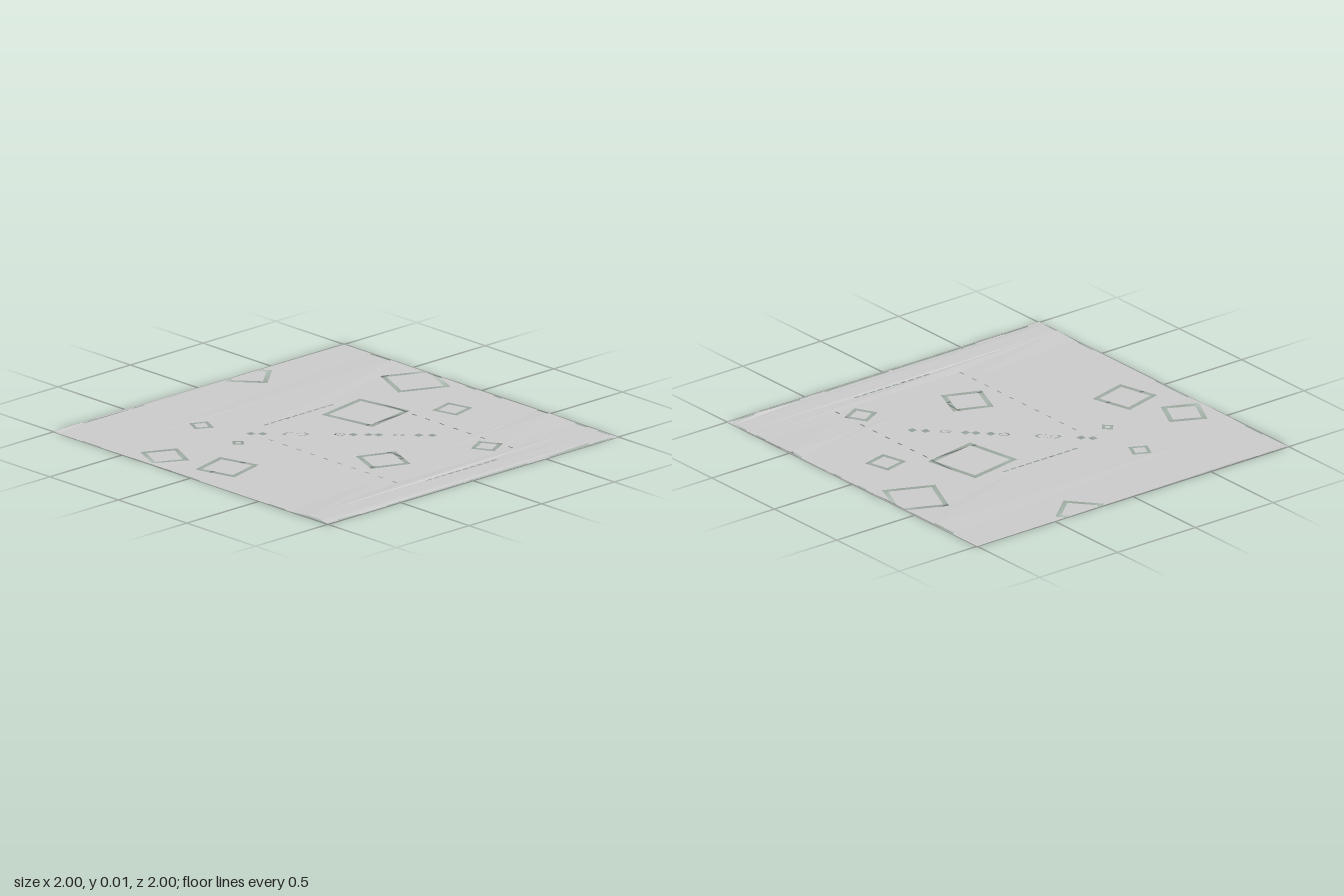
import * as THREE from 'three';

const FLAT = 0.014, LIMIT = 0.992;
const material = new THREE.MeshStandardMaterial({ color: 0xcccccc, side: THREE.DoubleSide, flatShading: true });

// Rectangle corners in plan [x, z], turned by an angle in degrees
function rect(cx, cz, w, d, deg = 0) {
  const a = deg * Math.PI / 180, c = Math.cos(a), s = Math.sin(a);
  return [[-1, -1], [1, -1], [1, 1], [-1, 1]].map(([i, j]) => {
    const x = i * w / 2, z = j * d / 2;
    return [cx + x * c - z * s, cz + x * s + z * c];
  });
}

// Cut a plan polygon off at the border of the sheet
function clip(points) {
  for (const [axis, sign] of [[0, 1], [0, -1], [1, 1], [1, -1]]) {
    const out = [];
    points.forEach((p, i) => {
      const q = points[(i + 1) % points.length];
      const dp = LIMIT - sign * p[axis], dq = LIMIT - sign * q[axis];
      if (dp >= 0) out.push(p);
      if (dp * dq < 0) {
        const t = dp / (dp - dq);
        out.push([p[0] + (q[0] - p[0]) * t, p[1] + (q[1] - p[1]) * t]);
      }
    });
    points = out;
  }
  return points;
}

// Shrink a polygon towards its middle
function shrink(points, factor) {
  const n = points.length;
  const mx = points.reduce((s, p) => s + p[0], 0) / n;
  const mz = points.reduce((s, p) => s + p[1], 0) / n;
  return points.map(([x, z]) => [mx + (x - mx) * factor, mz + (z - mz) * factor]);
}

const toVectors = points => points.map(([x, z]) => new THREE.Vector2(x, -z));

function plate(name, outline, holes, height) {
  const shape = new THREE.Shape(toVectors(outline));
  shape.holes = holes.map(h => new THREE.Path(toVectors(h)));
  const geometry = new THREE.ShapeGeometry(shape).rotateX(-Math.PI / 2);
  const pos = geometry.attributes.position;
  for (let i = 0; i < pos.count; i++) pos.setY(i, height(pos.getX(i), pos.getZ(i)));
  geometry.computeVertexNormals();
  const mesh = new THREE.Mesh(geometry, material);
  mesh.name = name;
  return mesh;
}

// Low ripples along each border: [position, height, width]
const ripples = {
  front: [[-0.96, 0.008, 0.05], [0.73, 0.014, 0.08], [0.13, 0.006, 0.08]],
  back: [[-0.68, 0.01, 0.06], [-0.95, 0.008, 0.06], [0.75, 0.008, 0.08]],
  left: [[0.9, 0.01, 0.1], [0.3, 0.01, 0.07], [-0.3, 0.004, 0.06]],
  right: [[0.5, 0.005, 0.08], [-0.3, 0.005, 0.05], [-0.7, 0.007, 0.06]],
};

// Narrow gaps just inside each border: [start, end]
const gaps = {
  front: [[-0.92, -0.77], [-0.59, -0.05], [-0.03, 0.38], [0.54, 0.8], [0.84, 0.97]],
  back: [[-0.8, -0.71], [-0.46, -0.38]],
  left: [[-0.8, -0.66], [-0.2, 0.06], [0.56, 0.68], [0.85, 0.95]],
  right: [[-0.8, -0.65], [-0.1, -0.03], [0.1, 0.16], [0.42, 0.5], [0.7, 0.78], [0.86, 0.95]],
};

function sideOf(x, z) {
  if (z > 0.97) return ['front', x];
  if (z < -0.97) return ['back', x];
  if (x < -0.97) return ['left', z];
  if (x > 0.97) return ['right', z];
  return null;
}

function sheetHeight(x, z) {
  const side = sideOf(x, z);
  if (!side) return FLAT;
  const [name, t] = side;
  // The rim drops to the ground beside a gap
  const outermost = Math.max(Math.abs(x), Math.abs(z)) > 0.999;
  if (outermost && gaps[name].some(([a, b]) => t > a && t < b)) return 0;
  return ripples[name].reduce((y, [p, h, w]) => y + h * Math.exp(-(((t - p) / w) ** 2)), FLAT);
}

export function createModel() {
  const group = new THREE.Group();
  group.name = 'groundSheet';
  const holes = [], islands = [];

  // Square ring cuts: x, z, side, angle, cut width
  for (const [x, z, s, a, w] of [
    [-0.858, -0.34, 0.196, 26, 0.025], [-0.75, 0, 0.232, -14.7, 0.025],
    [-0.393, -0.567, 0.097, 26, 0.018], [-0.447, -0.24, 0.056, 41, 0.015],
    [0.342, -0.144, 0.318, -9.7, 0.026], [0.861, -0.334, 0.275, 24, 0.025],
    [0.698, 0.11, 0.148, -13.5, 0.022], [-0.104, 0.455, 0.213, 22, 0.025],
    [0.422, 0.652, 0.127, -27, 0.022], [0.316, -0.968, 0.207, -40, 0.025],
  ]) {
    holes.push(clip(rect(x, z, s, s, a)));
    islands.push(clip(rect(x, z, s - 2 * w, s - 2 * w, a)));
  }

  // Dashed rows and columns
  for (let i = 0; i < 10; i++) {
    for (const z of [-0.352, 0.839]) holes.push(rect(-0.147 + i * 0.0492, z, 0.037, 0.011));
    const z = -0.155 + i * 0.1;
    holes.push(rect(-0.3, z, 0.008, 0.034));
    if (i > 1 && i !== 8) holes.push(rect(0.497, z, 0.008, 0.034));
  }

  // Small square cuts along the diagonal
  for (const [x, z] of [[-0.302, -0.302], [-0.26, -0.26], [0.061, 0.061], [0.115, 0.115],
    [0.151, 0.151], [0.293, 0.293], [0.341, 0.341]]) holes.push(rect(x, z, 0.035, 0.035));

  // Thin outlined cuts along the diagonal
  const oval = (x, z) => [[-0.024, -0.018], [-0.008, -0.024], [0.014, -0.014], [0.026, 0.008],
    [0.022, 0.022], [0.006, 0.024], [-0.016, 0.012]].map(p => [x + p[0], z + p[1]]);
  const steps = [[-0.195, -0.19], [-0.155, -0.19], [-0.135, -0.16], [-0.12, -0.135], [-0.093, -0.127],
    [-0.093, -0.094], [-0.127, -0.094], [-0.147, -0.122], [-0.163, -0.143], [-0.195, -0.165]];
  for (const [outline, f] of [[oval(0.013, 0.013), 0.74], [oval(0.222, 0.222), 0.74], [steps, 0.82]]) {
    holes.push(outline);
    islands.push(shrink(outline, f));
  }

  // Gaps along the borders
  for (const [side, list] of Object.entries(gaps)) {
    const at = side === 'front' || side === 'right' ? 0.99 : -0.994;
    const w = at > 0 ? 0.012 : 0.006;
    for (const [a, b] of list) {
      const mid = (a + b) / 2;
      holes.push(side === 'front' || side === 'back' ? rect(mid, at, b - a, w) : rect(at, mid, w, b - a));
    }
  }

  // Outer border, divided so that it can ripple
  const outline = [], N = 50;
  const corners = rect(0, 0, 2, 2);
  corners.forEach(([x, z], k) => {
    const [x2, z2] = corners[(k + 1) % 4];
    for (let i = 0; i < N; i++) outline.push([x + (x2 - x) * i / N, z + (z2 - z) * i / N]);
  });

  group.add(plate('sheet', outline, holes, sheetHeight));
  // Loose pieces left inside the ring cuts
  islands.forEach((p, i) => group.add(plate('innerPiece' + (i + 1), p, [], () => FLAT)));
  return group;
}
